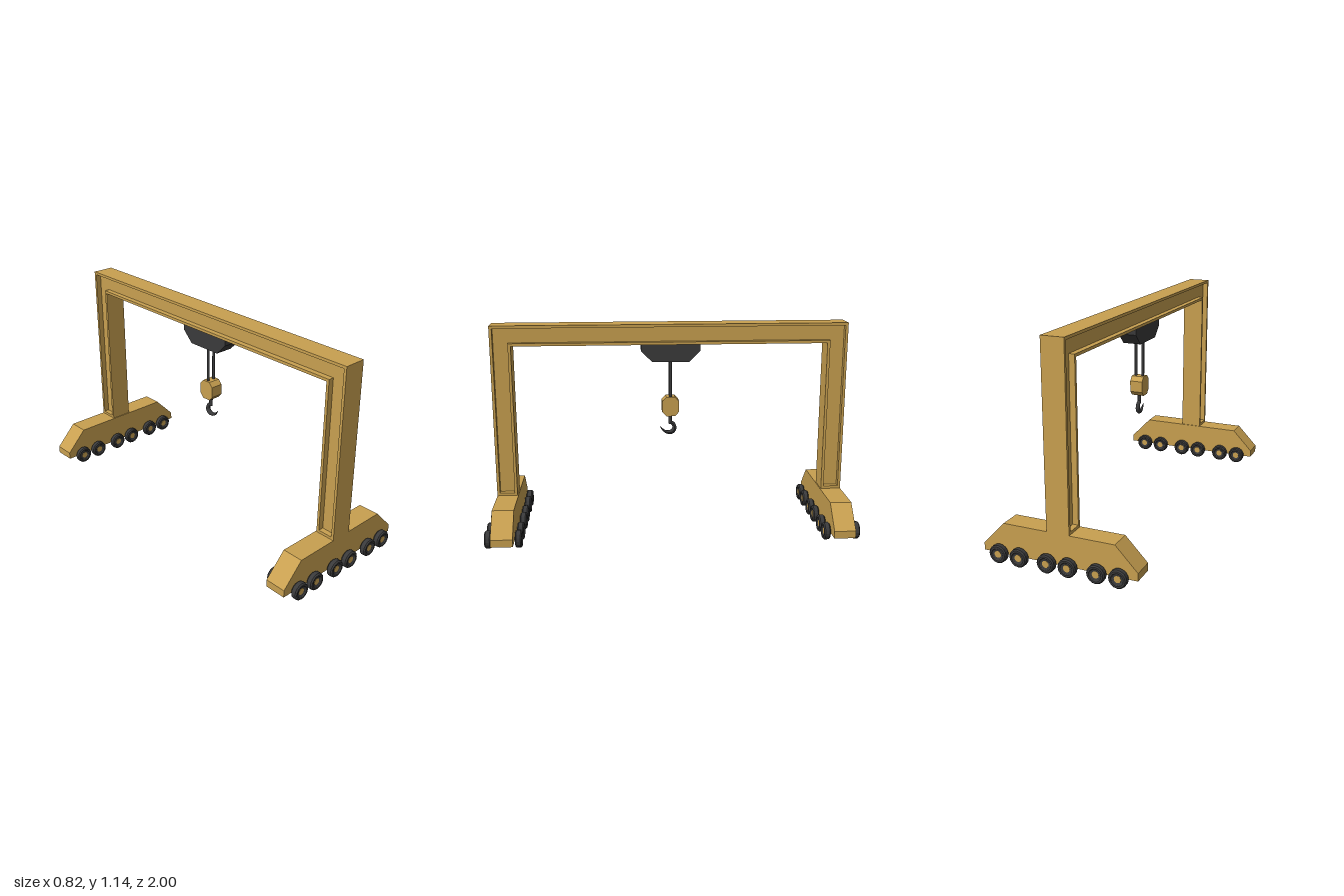
import * as THREE from 'three';

const yellow = new THREE.MeshStandardMaterial({ color: 0xc8a050 });
const dark = new THREE.MeshStandardMaterial({ color: 0x3a3a3b });

const toShape = (pts) => new THREE.Shape(pts.map(([a, b]) => new THREE.Vector2(a, b)));

function add(parent, geometry, material, name, x = 0, y = 0, z = 0) {
  const mesh = new THREE.Mesh(geometry, material);
  mesh.name = name;
  mesh.position.set(x, y, z);
  parent.add(mesh);
  return mesh;
}

// Extrusion centred on its depth; alongX turns a (z, y) profile to run along x
function extrude(shape, depth, alongX) {
  const g = new THREE.ExtrudeGeometry(shape, { depth, bevelEnabled: false });
  g.translate(0, 0, -depth / 2);
  if (alongX) g.rotateY(-Math.PI / 2);
  return g;
}

// Portal outline, shrunk inwards on all edges by t
const portal = (t) => [
  [-0.96 + t, 0.2 + t], [-0.85 - t, 0.2 + t], [-0.85 - t, 1.03 + t], [0.85 + t, 1.03 + t],
  [0.85 + t, 0.2 + t], [0.96 - t, 0.2 + t], [0.96 - t, 1.14 - t], [-0.96 + t, 1.14 - t],
];

function createFrame() {
  const frame = new THREE.Group();
  frame.name = 'portalFrame';
  add(frame, extrude(toShape(portal(0)), 0.06, true), yellow, 'frameWeb');
  const rim = toShape(portal(0));
  rim.holes.push(toShape(portal(0.015)));
  const rimGeometry = extrude(rim, 0.03, true);
  for (const s of [-1, 1]) add(frame, rimGeometry, yellow, 'frameRim', s * 0.045);
  return frame;
}

// Tyre with a dished face on both sides, axis along z
const tyreGeometry = new THREE.LatheGeometry([
  [0.016, -0.010], [0.028, -0.013], [0.032, -0.0175], [0.041, -0.0175], [0.047, -0.011],
  [0.047, 0.011], [0.041, 0.0175], [0.032, 0.0175], [0.028, 0.013], [0.016, 0.010],
].map(([r, h]) => new THREE.Vector2(r, h)), 16).toNonIndexed().rotateX(Math.PI / 2);
tyreGeometry.computeVertexNormals();
const hubGeometry = new THREE.CylinderGeometry(0.018, 0.018, 0.024, 16).rotateX(Math.PI / 2);
const axleGeometry = new THREE.CylinderGeometry(0.01, 0.01, 0.172, 10).rotateX(Math.PI / 2);

function createBogie(z) {
  const bogie = new THREE.Group();
  bogie.name = 'bogie';
  bogie.position.z = z;
  const body = toShape([[-0.41, 0.04], [0.41, 0.04], [0.41, 0.08], [0.295, 0.2], [-0.295, 0.2], [-0.41, 0.08]]);
  add(bogie, extrude(body, 0.115, false), yellow, 'bogieBody');
  for (const pair of [-0.266, -0.004, 0.258]) {
    for (const dx of [-0.056, 0.056]) {
      const x = pair + dx;
      add(bogie, axleGeometry, dark, 'axle', x, 0.048);
      for (const s of [-1, 1]) {
        const wheel = new THREE.Group();
        wheel.name = 'wheel';
        wheel.position.set(x, 0.048, s * 0.08);
        add(wheel, tyreGeometry, dark, 'tyre');
        add(wheel, hubGeometry, yellow, 'hub');
        bogie.add(wheel);
      }
    }
  }
  return bogie;
}

// Round hook that thickens through the bend and tapers to its tip
function createHookGeometry() {
  const path = new THREE.CatmullRomCurve3([
    [0.59, 0], [0.578, -0.016], [0.554, -0.023], [0.535, -0.010],
    [0.531, 0.014], [0.541, 0.036], [0.565, 0.058],
  ].map(([y, z]) => new THREE.Vector3(0, y, z)));
  const segments = 28, sides = 10;
  const g = new THREE.TubeGeometry(path, segments, 1, sides, false);
  const pos = g.attributes.position;
  const v = new THREE.Vector3();
  for (let i = 0; i <= segments; i++) {
    const t = i / segments;
    const centre = path.getPointAt(t);
    const radius = t < 0.5 ? 0.010 + 0.006 * t : 0.013 - 0.024 * (t - 0.5);
    for (let j = 0; j <= sides; j++) {
      const k = i * (sides + 1) + j;
      v.fromBufferAttribute(pos, k).sub(centre).multiplyScalar(radius).add(centre);
      pos.setXYZ(k, v.x, v.y, v.z);
    }
  }
  g.computeVertexNormals();
  return g;
}

function createHoist() {
  const hoist = new THREE.Group();
  hoist.name = 'hoist';
  const trolley = toShape([[-0.1, 0.935], [0.1, 0.935], [0.16, 0.995], [0.16, 1.03], [-0.16, 1.03], [-0.16, 0.995]]);
  add(hoist, extrude(trolley, 0.1, true), dark, 'trolley');
  const cable = new THREE.CylinderGeometry(0.008, 0.008, 0.25, 10);
  for (const s of [-1, 1]) add(hoist, cable, dark, 'cable', s * 0.02, 0.835);
  // Eight-sided pulley block
  const block = toShape([
    [-0.024, 0.63], [0.024, 0.63], [0.046, 0.654], [0.046, 0.713],
    [0.024, 0.737], [-0.024, 0.737], [-0.046, 0.713], [-0.046, 0.654],
  ]);
  add(hoist, extrude(block, 0.07, true), yellow, 'pulleyBlock');
  add(hoist, new THREE.CylinderGeometry(0.01, 0.01, 0.06, 10), dark, 'hookShank', 0, 0.61);
  add(hoist, createHookGeometry(), dark, 'hook');
  return hoist;
}

export function createModel() {
  const crane = new THREE.Group();
  crane.name = 'gantryCrane';
  crane.add(createFrame(), createHoist());
  for (const s of [-1, 1]) crane.add(createBogie(s * 0.9025));
  return crane;
}
